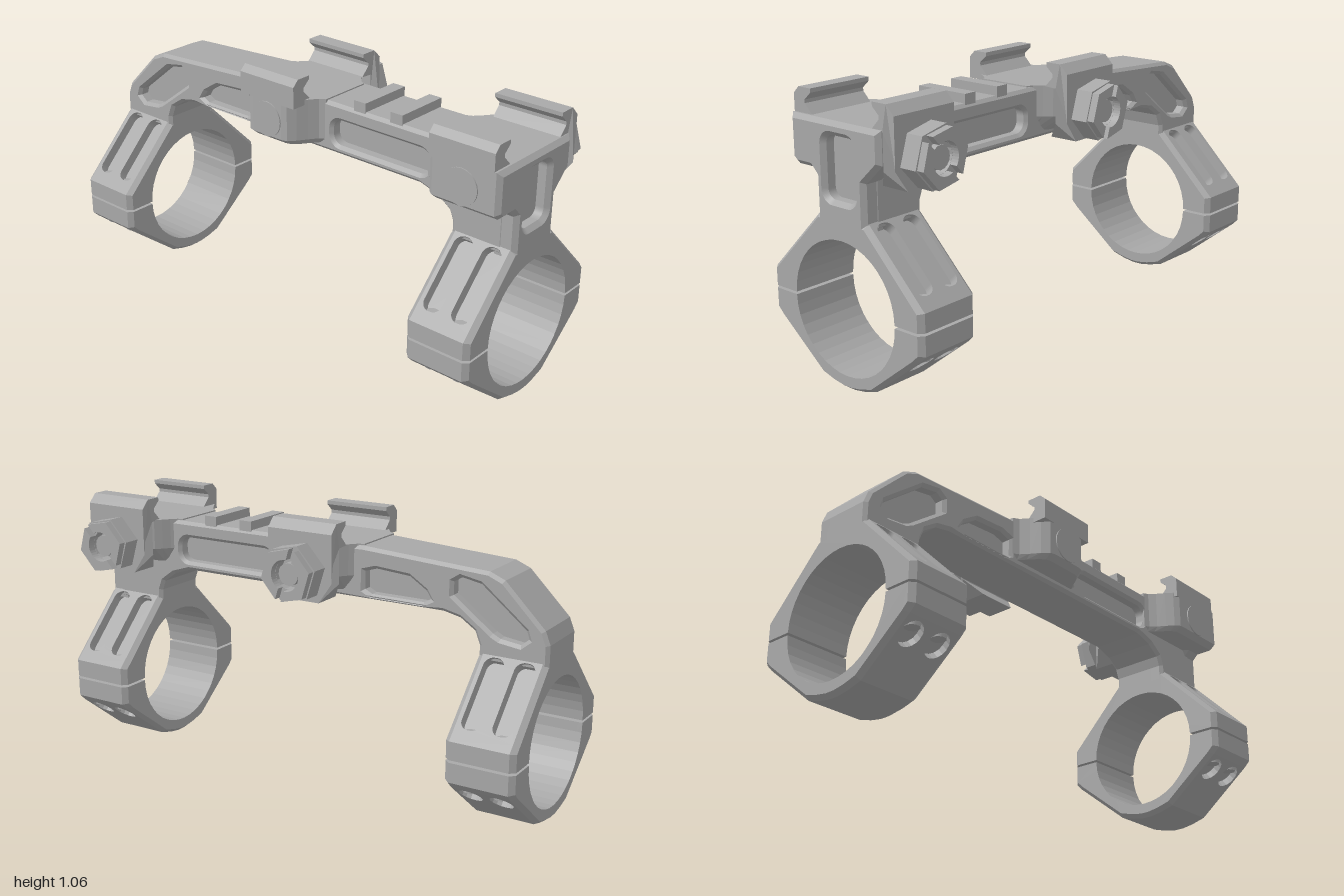
import * as THREE from 'three';

const metal = new THREE.MeshStandardMaterial({ color: 0xa8a8a8 });
metal.name = 'grey metal';

const toShape = (pts) => new THREE.Shape(pts.map(([x, y]) => new THREE.Vector2(x, y)));

// Extrusion centred on its depth; a bevel chamfers outline and holes inside that depth
function extrude(shape, depth, bevel = 0, steps = 1) {
  const g = new THREE.ExtrudeGeometry(shape, {
    depth: depth - 2 * bevel, steps, curveSegments: 8, bevelEnabled: bevel > 0,
    bevelThickness: bevel, bevelSize: bevel, bevelOffset: -bevel, bevelSegments: 1,
  });
  return g.translate(0, 0, bevel - depth / 2);
}

function moveVertices(g, rule) {
  const p = g.attributes.position;
  const v = new THREE.Vector3();
  for (let i = 0; i < p.count; i++) {
    v.fromBufferAttribute(p, i);
    rule(v);
    p.setXYZ(i, v.x, v.y, v.z);
  }
  g.computeVertexNormals();
  return g;
}

function add(parent, name, geometry, x = 0, y = 0, z = 0) {
  const m = new THREE.Mesh(geometry, metal);
  m.name = name;
  m.position.set(x, y, z);
  parent.add(m);
  return m;
}

function roundRect(x0, y0, x1, y1, r) {
  const p = new THREE.Path();
  p.moveTo(x0 + r, y0);
  p.lineTo(x1 - r, y0).absarc(x1 - r, y0 + r, r, -Math.PI / 2, 0);
  p.lineTo(x1, y1 - r).absarc(x1 - r, y1 - r, r, 0, Math.PI / 2);
  p.lineTo(x0 + r, y1).absarc(x0 + r, y1 - r, r, Math.PI / 2, Math.PI);
  p.lineTo(x0, y0 + r).absarc(x0 + r, y0 + r, r, Math.PI, Math.PI * 1.5);
  return p;
}

const BORE = 0.25, CY = 0.305;

// Closed outline of half a ring: right side points, their mirror, then the bore
function ringOutline(right, up) {
  const pts = [...right, ...right.map(([x, y]) => [-x, y]).reverse()];
  for (let i = 0; i <= 20; i++) {
    const a = Math.PI * (1 - i / 20);
    pts.push([BORE * Math.cos(a), CY + up * (0.005 + (BORE - 0.005) * Math.sin(a))]);
  }
  return toShape(pts);
}

// One half of a ring; its sloped faces a-b carry plates with openings
function ringHalf(parent, name, before, a, b, after, up, t, holes) {
  const d = new THREE.Vector2(b[0] - a[0], b[1] - a[1]);
  const length = d.length();
  d.normalize();
  const w = new THREE.Vector2(d.y, -d.x).multiplyScalar(up);
  const inset = ([x, y]) => [x - w.x * t, y - w.y * t];
  add(parent, name + 'Core', extrude(ringOutline([...before, a, inset(a), inset(b), b, ...after], up), 0.23));
  // chamfered end faces
  for (const s of [-1, 1]) {
    const g = moveVertices(extrude(ringOutline([...before, a, b, ...after], up), 0.02), (v) => {
      if (v.z * s > 0 && Math.hypot(v.x, v.y - CY) > 0.26) {
        v.x *= 0.95;
        v.y = CY + (v.y - CY) * 0.95;
      }
    });
    add(parent, name + 'EndFace', g, 0, 0, s * 0.125);
  }
  // sloped plates, mirrored left and right
  const plate = toShape([[0, -0.115], [length, -0.115], [length, 0.115], [0, 0.115]]);
  plate.holes.push(...holes);
  const o = inset(up > 0 ? a : b);
  const u = up > 0 ? d : d.clone().negate();
  const m = new THREE.Matrix4().makeBasis(
    new THREE.Vector3(u.x, u.y, 0), new THREE.Vector3(0, 0, 1), new THREE.Vector3(w.x, w.y, 0));
  m.setPosition(o[0], o[1], 0);
  for (const turn of [0, Math.PI]) {
    const g = extrude(plate, t).translate(0, 0, t / 2).applyMatrix4(m);
    add(parent, name + 'SlopePlate', g).rotation.y = turn;
  }
}

function makeRing(z) {
  const ring = new THREE.Group();
  ring.name = 'ring';
  ring.position.z = z;
  const slots = [-0.06, 0.06].map((c) => roundRect(0.02, c - 0.039, 0.315, c + 0.039, 0.035));
  ringHalf(ring, 'ringTop', [[0.375, 0.31], [0.375, 0.38]], [0.35, 0.405], [0.12, 0.635], [], 1, 0.04, slots);
  const wells = [-0.06, 0.06].map((c) => new THREE.Path().absellipse(0.215, c, 0.052, 0.044, 0, Math.PI * 2));
  ringHalf(ring, 'ringCap', [[0.375, 0.3], [0.375, 0.225]], [0.35, 0.2], [0.13, 0.025],
    [[0.07, 0.008], [0.02, 0]], -1, 0.03, wells);
  for (const x of [-1, 1]) for (const c of [-0.06, 0.06]) {
    add(ring, 'upperScrew', new THREE.CylinderGeometry(0.028, 0.028, 0.04, 10), x * 0.316, 0.388, c);
    add(ring, 'lowerScrew', new THREE.CylinderGeometry(0.028, 0.028, 0.04, 10), x * 0.303, 0.2, c);
  }
  return ring;
}

// Side profile of beam and legs, as [z, y]
const beamProfile = [[0.95, 0.6], [0.95, 0.965], [-0.25, 0.965], [-0.76, 0.935], [-0.82, 0.91], [-0.98, 0.75],
  [-1, 0.7], [-1, 0.6], [-0.73, 0.6], [-0.73, 0.66], [-0.71, 0.71], [-0.65, 0.75], [-0.58, 0.765],
  [0.58, 0.765], [0.66, 0.74], [0.715, 0.7], [0.73, 0.66], [0.73, 0.6]];

function makeBeam() {
  const beam = new THREE.Group();
  beam.name = 'beam';
  const turn = -Math.PI / 2;
  add(beam, 'web', extrude(toShape(beamProfile), 0.15).rotateY(turn));
  for (const s of [-1, 1]) {
    const side = toShape(beamProfile);
    side.holes.push(
      roundRect(0.17, 0.8, 0.62, 0.9, 0.04),
      new THREE.Path([[-0.25, 0.8], [-0.28, 0.785], [-0.5, 0.785], [-0.53, 0.8], [-0.51, 0.83],
        [-0.44, 0.875], [-0.3, 0.885], [-0.25, 0.87]].map((p) => new THREE.Vector2(...p))),
      new THREE.Path([[-0.62, 0.83], [-0.62, 0.88], [-0.65, 0.9], [-0.73, 0.885], [-0.91, 0.74],
        [-0.92, 0.71], [-0.89, 0.685], [-0.81, 0.695], [-0.78, 0.71]].map((p) => new THREE.Vector2(...p))));
    add(beam, 'sidePlate', extrude(side, 0.07, 0.013).rotateY(turn), s * 0.087);
  }
  for (const z of [0.2975, 0.4675]) add(beam, 'crossBar', new THREE.BoxGeometry(0.23, 0.045, 0.055), 0, 0.9775, z);
  // front face with a chamfered pocket, joined to the neck
  const front = toShape([[-0.24, 0.97], [-0.24, 0.81], [-0.215, 0.79], [-0.145, 0.79], [-0.12, 0.765], [-0.12, 0.6],
    [0.12, 0.6], [0.12, 0.775], [0.2, 0.85], [0.2, 0.97]]);
  front.holes.push(roundRect(-0.073, 0.692, 0.073, 0.918, 0.035));
  add(beam, 'frontFace', extrude(front, 0.1, 0.017), 0, 0, 0.95);
  return beam;
}

const bodySection = [[-0.24, 0.97], [-0.24, 0.81], [-0.215, 0.79], [0.135, 0.79], [0.2, 0.85], [0.2, 0.97]];
const fixedJaw = [[-0.24, 0.95], [-0.24, 1.035], [-0.215, 1.06], [-0.155, 1.06], [-0.155, 1.045],
  [-0.185, 1.018], [-0.185, 1.005], [-0.15, 0.97], [-0.15, 0.95]];
const movingJaw = [[0.155, 1.06], [0.22, 1.06], [0.255, 1.025], [0.255, 0.84], [0.255, 0.76], [0.135, 0.76],
  [0.2, 0.83], [0.2, 0.965], [0.15, 0.968], [0.185, 1.005], [0.185, 1.018], [0.155, 1.045]];

// Hex nut with a slotted end, facing +x
function makeNut(slotAngle) {
  const nut = new THREE.Group();
  nut.name = 'clampNut';
  const R = 0.115, hex = [];
  for (let i = 0; i < 6; i++) hex.push([R * Math.cos(i * Math.PI / 3), R * Math.sin(i * Math.PI / 3)]);
  const base = toShape(hex);
  base.holes.push(new THREE.Path().absarc(0, 0, 0.06, 0, Math.PI * 2));
  add(nut, 'nutBase', extrude(base, 0.07), 0, 0, 0.035);
  const half = toShape([[R - 0.012, 0.0125], [R * 0.46, R * 0.82], [-R * 0.46, R * 0.82], [-R + 0.012, 0.0125], [-0.06, 0.0125]]);
  half.absarc(0, 0, 0.06, Math.PI - 0.21, 0.21, true);
  for (const a of [0, Math.PI]) add(nut, 'nutSlottedEnd', extrude(half, 0.03), 0, 0, 0.085).rotation.z = a;
  add(nut, 'nutFloor', new THREE.CylinderGeometry(0.062, 0.062, 0.02, 20).rotateX(Math.PI / 2), 0, 0, 0.02);
  add(nut, 'stud', new THREE.CylinderGeometry(0.043, 0.043, 0.07, 16).rotateX(Math.PI / 2), 0, 0, 0.04);
  nut.children.forEach((c) => { c.rotation.z += THREE.MathUtils.degToRad(slotAngle); });
  nut.rotation.y = Math.PI / 2;
  return nut;
}

// Clamp: flared body, fixed jaw, moving jaw and nut
function makeClamp(z0, z1, flareFront, jawZ, nutZ, slotAngle) {
  const clamp = new THREE.Group();
  clamp.name = 'railClamp';
  const depth = z1 - z0;
  const body = moveVertices(extrude(toShape(bodySection), depth, 0, 16), (v) => {
    const edge = flareFront ? depth / 2 - Math.abs(v.z) : v.z + depth / 2;
    v.x *= 0.5 + 0.5 * THREE.MathUtils.smoothstep(edge, 0, 0.11);
  });
  add(clamp, 'clampBody', body, 0, 0, (z0 + z1) / 2);
  add(clamp, 'fixedJaw', extrude(toShape(fixedJaw), 0.27), 0, 0, jawZ);
  const moving = moveVertices(extrude(toShape(movingJaw), 0.28), (v) => { if (v.y < 0.8) v.z *= 0.6; });
  add(clamp, 'movingJaw', moving, 0, 0, jawZ);
  add(clamp, 'pinHead', new THREE.CylinderGeometry(0.07, 0.07, 0.02, 20).rotateZ(Math.PI / 2), -0.235, 0.878, nutZ);
  const nut = makeNut(slotAngle);
  nut.position.set(0.255, 0.875, nutZ);
  clamp.add(nut);
  return clamp;
}

export function createModel() {
  const model = new THREE.Group();
  model.name = 'ringMount';
  model.add(makeBeam(), makeRing(0.865), makeRing(-0.865));
  model.add(makeClamp(0.62, 0.95, false, 0.84, 0.845, 132.5));
  model.add(makeClamp(-0.24, 0.14, true, -0.05, -0.05, 72.5));
  return model;
}
